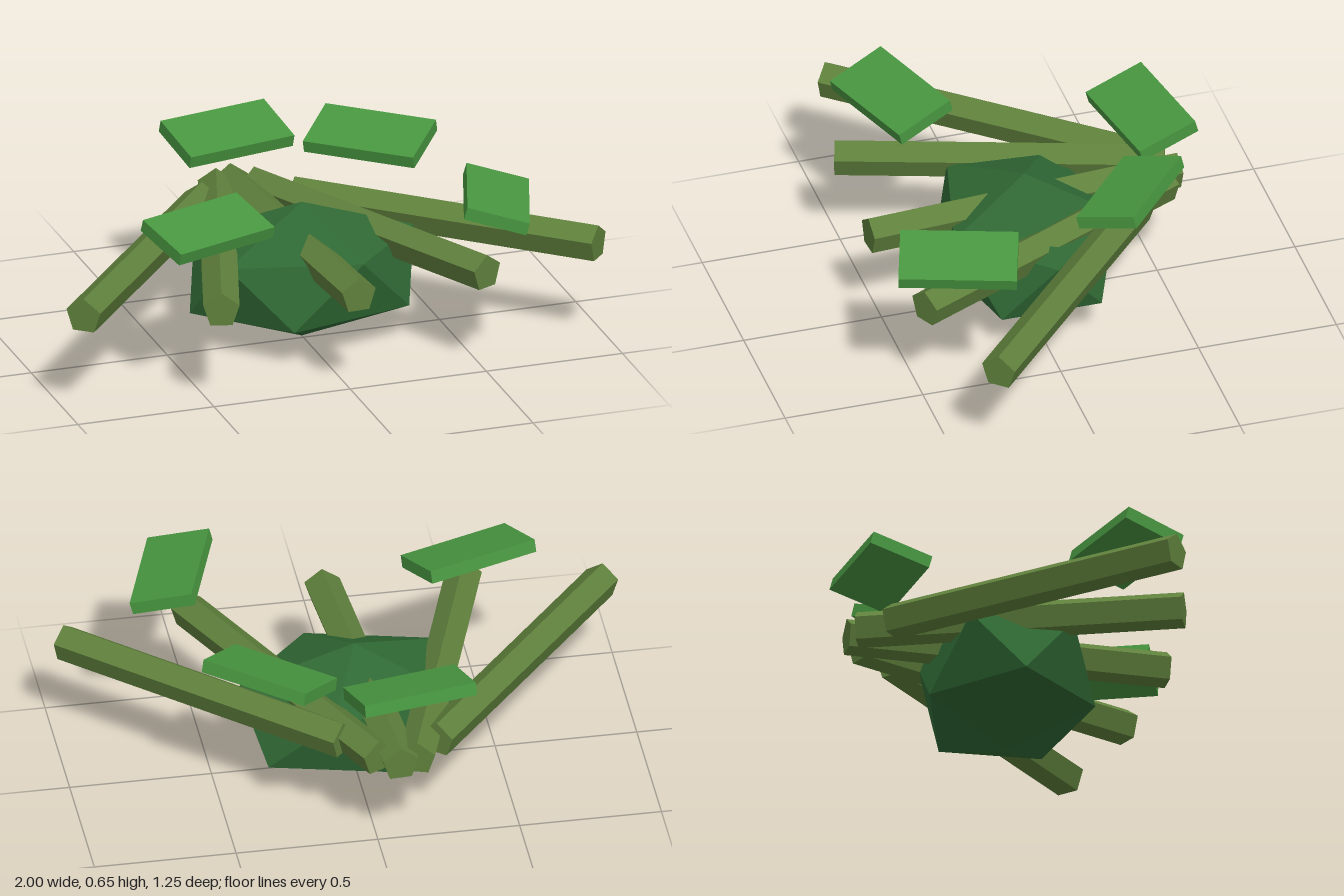
import * as THREE from 'three';
import { ConvexGeometry } from 'three/addons/geometries/ConvexGeometry.js';

const rad = THREE.MathUtils.degToRad;

function material(name, color) {
  const m = new THREE.MeshStandardMaterial({ color, flatShading: true });
  m.name = name;
  return m;
}

// Twenty-sided body with a vertex at the top and bottom, squashed on each axis
function bodyGeometry(rx, ry, rz) {
  const h = 1 / Math.sqrt(5), r = 2 * h;
  const points = [new THREE.Vector3(0, ry, 0), new THREE.Vector3(0, -ry, 0)];
  for (let i = 0; i < 5; i++) {
    for (const [start, y] of [[0, h], [180, -h]]) {
      const a = rad(start + 72 * i);
      points.push(new THREE.Vector3(rx * r * Math.cos(a), ry * y, rz * r * Math.sin(a)));
    }
  }
  return new ConvexGeometry(points);
}

export function createModel() {
  const model = new THREE.Group();
  const darkGreen = material('dark green', 0x2f6834);
  const olive = material('olive green', 0x5f803c);
  const leafGreen = material('leaf green', 0x489640);

  const add = (name, geometry, mat, x, y, z) => {
    const mesh = new THREE.Mesh(geometry, mat);
    mesh.name = name;
    mesh.position.set(x, y, z);
    model.add(mesh);
    return mesh;
  };

  // Foliage clump
  add('foliageClump', bodyGeometry(0.46, 0.251, 0.344), darkGreen, 0, 0.258, -0.018);

  // Fan of five-sided stems, ridge upward
  const stem = new THREE.CylinderGeometry(0.0663, 0.0663, 1.147, 5).rotateX(-Math.PI / 2);
  for (let i = -2; i <= 2; i++) {
    const mesh = add(`stem${i + 3}`, stem, olive, -0.0255 + 0.279 * i, 0.374, -0.02);
    mesh.rotation.y = rad(4 + 22 * i);
  }

  // Floating leaf slabs: x, z, heading in degrees; all share one tilt
  const slab = new THREE.BoxGeometry(0.412, 0.046, 0.225);
  [
    [-0.463, 0.325, 19],
    [-0.117, -0.48, 10.5],
    [0.347, -0.298, -40.5],
    [0.574, 0.393, 71.5],
  ].forEach(([x, z, heading], i) => {
    const mesh = add(`leaf${i + 1}`, slab, leafGreen, x, 0.602, z);
    mesh.rotation.set(rad(15.5), rad(heading), 0, 'YXZ');
  });

  return model;
}
